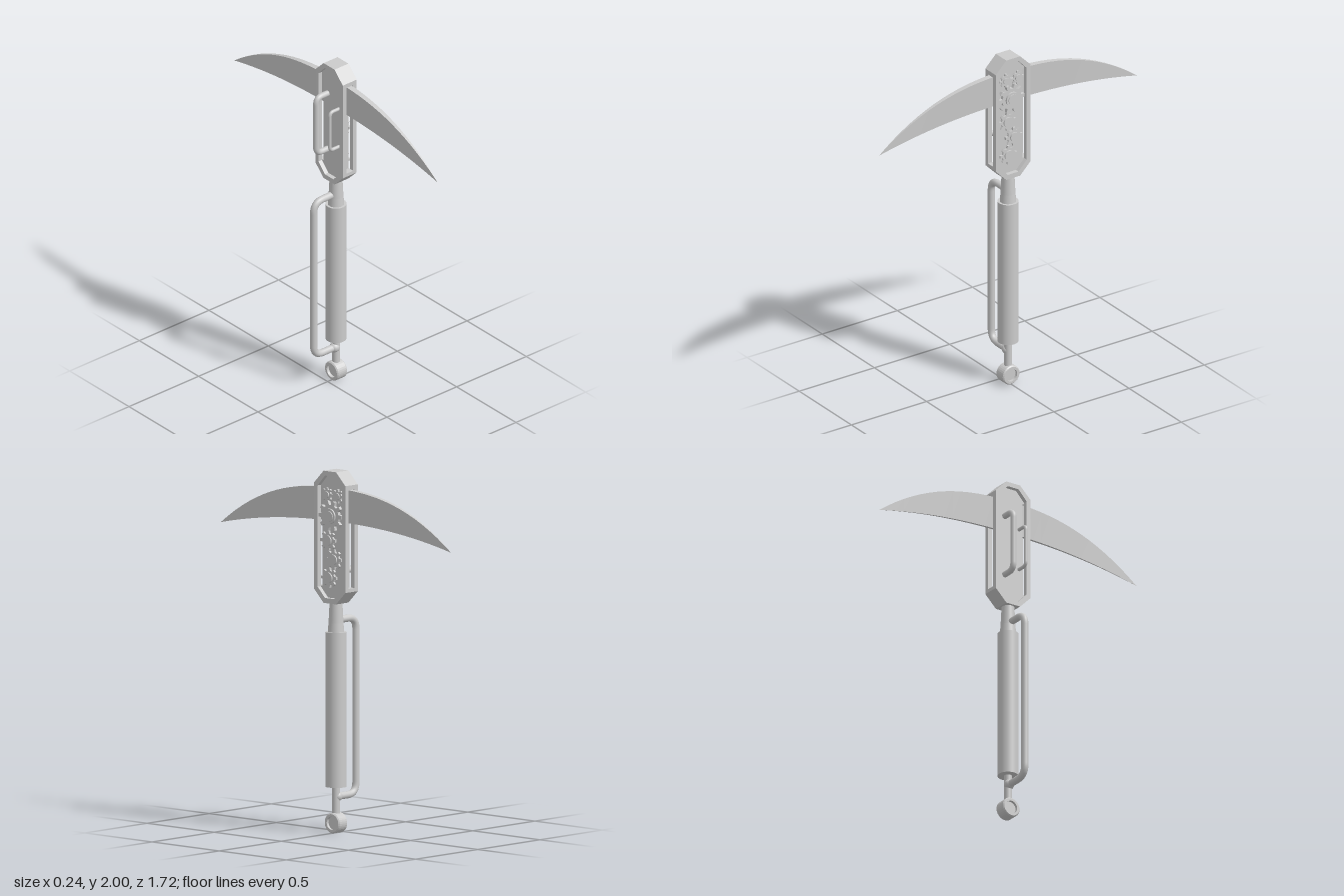
import * as THREE from 'three';

const AXIS = 0.06; // x of the shaft axis
const grey = new THREE.MeshStandardMaterial({ color: 0xcccccc, side: THREE.DoubleSide });
const faceted = new THREE.MeshStandardMaterial({ color: 0xcccccc, side: THREE.DoubleSide, flatShading: true });

function part(name, geometry, material = grey) {
  const mesh = new THREE.Mesh(geometry, material);
  mesh.name = name;
  return mesh;
}

// Flat plate drawn in (-z, y), thick from x0 to x1
function plate(name, shape, x0, x1) {
  const g = new THREE.ExtrudeGeometry(shape, { depth: x1 - x0, bevelEnabled: false, curveSegments: 16 });
  g.rotateY(Math.PI / 2).translate(x0, 0, 0);
  return part(name, g);
}

// Points of an elongated octagon
function octagon(halfW, halfTop, low, lowShoulder, highShoulder, high) {
  return [[-halfTop, low], [halfTop, low], [halfW, lowShoulder], [halfW, highShoulder],
    [halfTop, high], [-halfTop, high], [-halfW, highShoulder], [-halfW, lowShoulder]]
    .map(([a, b]) => new THREE.Vector2(a, b));
}

function makeHead() {
  const head = new THREE.Group();
  head.name = 'head';
  // Raised rims on both faces
  const rim = new THREE.Shape(octagon(0.116, 0.046, 1.27, 1.34, 1.93, 2.0));
  rim.holes.push(new THREE.Path(octagon(0.09, 0.036, 1.298, 1.355, 1.915, 1.974)));
  head.add(plate('leftRim', rim, 0.085, 0.11), plate('rightRim', rim, 0.01, 0.035));
  // Core panel, notched front and back for the blade slots
  const half = [[0.046, 1.27], [0.116, 1.34], [0.116, 1.36], [0.078, 1.36],
    [0.078, 1.905], [0.116, 1.905], [0.116, 1.93], [0.046, 2.0]];
  const outline = [...half, ...half.map(([a, b]) => [-a, b]).reverse()];
  head.add(plate('corePanel', new THREE.Shape(outline.map(([a, b]) => new THREE.Vector2(a, b))), 0.035, 0.085));
  return head;
}

// Curved double blade, tapering to a point at each end
function makeBlade() {
  const g = new THREE.BoxGeometry(2, 1, 2, 1, 1, 32);
  const p = g.attributes.position;
  for (let i = 0; i < p.count; i++) {
    const a = Math.abs(p.getZ(i));
    const top = 1.905 - 0.275 * a ** 2.4;
    const bottom = 1.72 - 0.09 * a ** 2.2;
    const upper = p.getY(i) > 0;
    const t = 0.018 * (1 - a ** 1.5) * (upper ? 1 : 0.4);
    p.setXYZ(i, AXIS + p.getX(i) * t, upper ? top : bottom, p.getZ(i) * 0.858);
  }
  return part('blade', g, faceted);
}

function makeGear(z, y, outer, hub, teeth, xFace, xHub) {
  const gear = new THREE.Group();
  gear.name = 'gear';
  const root = outer * 0.74, pts = [], step = (Math.PI * 2) / teeth;
  for (let i = 0; i < teeth; i++) {
    for (const [r, f] of [[root, -0.3], [outer, -0.17], [outer, 0.17], [root, 0.3]]) {
      const a = (i + f) * step;
      pts.push(new THREE.Vector2(Math.cos(a) * r, Math.sin(a) * r));
    }
  }
  gear.add(plate('gearWheel', new THREE.Shape(pts), 0.084, xFace));
  const hubMesh = part('gearHub', new THREE.CylinderGeometry(hub, hub, xHub - 0.084, 24).rotateZ(Math.PI / 2));
  hubMesh.position.x = (xHub + 0.084) / 2;
  gear.add(hubMesh);
  gear.position.set(0, y, z);
  return gear;
}

// U-shaped tube reaching out to -x with rounded corners
function makeLoop(name, xIn, xOut, y0, y1, z, r, bend) {
  const v = (x, y) => new THREE.Vector3(x, y, z);
  const path = new THREE.CurvePath();
  path.add(new THREE.LineCurve3(v(xIn, y1), v(xOut + bend, y1)));
  path.add(new THREE.QuadraticBezierCurve3(v(xOut + bend, y1), v(xOut, y1), v(xOut, y1 - bend)));
  path.add(new THREE.LineCurve3(v(xOut, y1 - bend), v(xOut, y0 + bend)));
  path.add(new THREE.QuadraticBezierCurve3(v(xOut, y0 + bend), v(xOut, y0), v(xOut + bend, y0)));
  path.add(new THREE.LineCurve3(v(xOut + bend, y0), v(xIn, y0)));
  return part(name, new THREE.TubeGeometry(path, 120, r, 14));
}

function rod(name, y0, y1, r0, r1 = r0) {
  const m = part(name, new THREE.CylinderGeometry(r1, r0, y1 - y0, 32));
  m.position.set(AXIS, (y0 + y1) / 2, 0);
  return m;
}

export function createModel() {
  const model = new THREE.Group();
  model.name = 'pickaxe';
  model.add(makeHead(), makeBlade());

  // Gear train in the left recess: z, y, outer radius, hub radius, teeth, face x, hub x
  for (const g of [
    [0.037, 1.867, 0.04, 0.019, 8, 0.096, 0.103],
    [-0.042, 1.865, 0.04, 0.019, 8, 0.096, 0.103],
    [0.004, 1.752, 0.085, 0.042, 10, 0.104, 0.114],
    [0.027, 1.615, 0.056, 0.029, 8, 0.098, 0.106],
    [-0.016, 1.513, 0.056, 0.028, 8, 0.098, 0.106],
    [0.02, 1.41, 0.056, 0.029, 8, 0.098, 0.106],
  ]) model.add(makeGear(...g));
  const cap = part('gearCap', new THREE.CylinderGeometry(0.03, 0.03, 0.01, 24).rotateZ(Math.PI / 2));
  cap.position.set(0.114, 1.752, 0.004);
  model.add(cap);

  // Pipes on the right face
  model.add(makeLoop('largePipe', 0.04, -0.048, 1.45, 1.802, -0.04, 0.017, 0.04));
  model.add(makeLoop('smallPipe', 0.04, -0.031, 1.505, 1.745, 0.055, 0.01, 0.025));

  // Shaft, grip and lower rod
  model.add(rod('neck', 1.16, 1.28, 0.041, 0.035), rod('neckCollar', 1.1, 1.16, 0.046, 0.041));
  model.add(rod('grip', 0.255, 1.11, 0.058), rod('lowerRod', 0.1, 0.26, 0.022));

  // Hand guard and its lower joint
  model.add(makeLoop('handGuard', 0.05, -0.1, 0.2, 1.175, 0, 0.02, 0.065));
  const joint = part('guardJoint', new THREE.SphereGeometry(0.029, 16, 12));
  joint.position.set(0.05, 0.2, 0);
  model.add(joint);

  // Pommel ring with a recessed centre
  const profile = [[0, -0.02], [0.036, -0.02], [0.036, -0.036], [0.05, -0.036], [0.056, -0.03],
    [0.056, 0.03], [0.05, 0.036], [0.036, 0.036], [0.036, 0.02], [0, 0.02]]
    .map(([r, h]) => new THREE.Vector2(r, h));
  const pommel = part('pommel', new THREE.LatheGeometry(profile, 32).rotateZ(Math.PI / 2), faceted);
  pommel.position.set(AXIS, 0.056, 0);
  model.add(pommel);
  return model;
}
